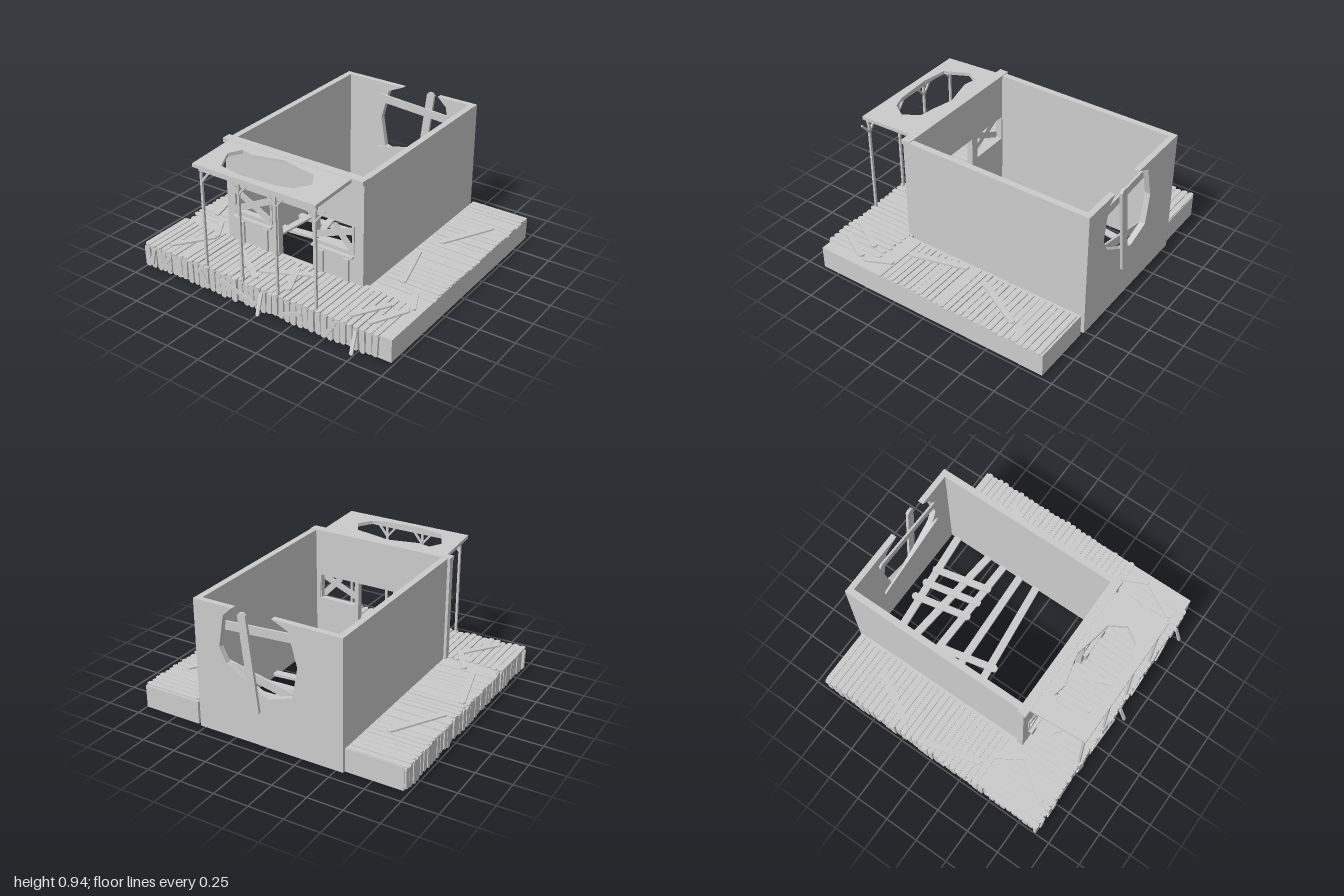
import * as THREE from 'three';

const material = new THREE.MeshStandardMaterial({ color: 0xcccccc, flatShading: true, side: THREE.DoubleSide });
const V = (x, y, z) => new THREE.Vector3(x, y, z);
const UP = V(0, 1, 0), FRONT = V(0, 0, 1), LEFT = V(1, 0, 0);

let seed = 7;
function rand(min, max) {
  seed = (seed * 16807) % 2147483647;
  return min + (max - min) * (seed / 2147483647);
}

function addMesh(parent, name, geometry) {
  const mesh = new THREE.Mesh(geometry, material);
  mesh.name = name;
  parent.add(mesh);
  return mesh;
}

// Box given by its limits on each axis
function box(parent, name, x0, x1, y0, y1, z0, z1) {
  const mesh = addMesh(parent, name, new THREE.BoxGeometry(x1 - x0, y1 - y0, z1 - z0));
  mesh.position.set((x0 + x1) / 2, (y0 + y1) / 2, (z0 + z1) / 2);
  return mesh;
}

// Board with chipped ends from a to b, its back lying on the surface with this normal
function plank(parent, name, a, b, width, thickness, normal) {
  const length = a.distanceTo(b), w = width / 2, c = width * 0.28;
  const shape = new THREE.Shape([
    [0, -w + c], [c, -w], [length - c, -w], [length, -w + c],
    [length, w - c], [length - c, w], [c, w], [0, w - c],
  ].map(([x, y]) => new THREE.Vector2(x, y)));
  const mesh = addMesh(parent, name, new THREE.ExtrudeGeometry(shape, { depth: thickness, bevelEnabled: false }));
  const dir = b.clone().sub(a).normalize();
  const side = normal.clone().cross(dir).normalize();
  const out = dir.clone().cross(side);
  mesh.applyMatrix4(new THREE.Matrix4().makeBasis(dir, side, out).setPosition(a));
  return mesh;
}

const outline = (points) => points.map(([x, y]) => new THREE.Vector2(x, y));

function panel(parent, name, points, holes, depth) {
  const shape = new THREE.Shape(outline(points));
  holes.forEach((h) => shape.holes.push(new THREE.Path(outline(h))));
  return addMesh(parent, name, new THREE.ExtrudeGeometry(shape, { depth, bevelEnabled: false }));
}

function group(parent, name) {
  const g = new THREE.Group();
  g.name = name;
  parent.add(g);
  return g;
}

function buildWalls(root) {
  const walls = group(root, 'walls');
  box(walls, 'rightWall', -0.56, -0.515, 0.01, 0.935, -0.92, 0.46);
  box(walls, 'leftWall', 0.48, 0.525, 0.01, 0.935, -0.92, 0.46);

  // Back wall with a broken gap reaching its top edge
  const back = panel(walls, 'backWall', [
    [-0.56, 0.01], [0.525, 0.01], [0.525, 0.935], [0.23, 0.935], [0.3, 0.87], [0.34, 0.64], [0.29, 0.54],
    [0.1, 0.42], [-0.02, 0.37], [-0.2, 0.43], [-0.24, 0.65], [-0.18, 0.88], [-0.06, 0.935], [-0.56, 0.935],
  ], [], 0.04);
  back.position.z = -0.93;
  plank(walls, 'backBoard', V(0.15, 0.93, -0.93), V(0.07, 0.24, -0.93), 0.06, -0.02, FRONT);
  plank(walls, 'backBoard', V(-0.27, 0.82, -0.89), V(0.34, 0.78, -0.89), 0.06, 0.015, FRONT);
  plank(walls, 'backBoard', V(-0.28, 0.38, -0.89), V(0.35, 0.52, -0.89), 0.06, 0.015, FRONT);

  // Front wall with doorway and two windows
  const front = panel(walls, 'frontWall', [
    [-0.58, 0.16], [-0.15, 0.16], [-0.15, 0.595], [0.13, 0.595], [0.13, 0.16],
    [0.525, 0.16], [0.525, 0.935], [-0.58, 0.935],
  ], [
    [[-0.51, 0.41], [-0.21, 0.41], [-0.21, 0.595], [-0.51, 0.595]],
    [[0.16, 0.41], [0.45, 0.41], [0.45, 0.595], [0.16, 0.595]],
  ], 0.045);
  front.position.z = 0.445;

  // Boarded windows, sills and sill supports
  const boards = [
    [-0.51, 0.575, -0.21, 0.425], [-0.51, 0.425, -0.21, 0.575],
    [0.15, 0.45, 0.45, 0.57], [0.3, 0.58, 0.45, 0.42],
  ];
  boards.forEach(([x0, y0, x1, y1]) =>
    plank(walls, 'windowBoard', V(x0, y0, 0.49), V(x1, y1, 0.49), 0.045, 0.01, FRONT));
  for (const x of [-0.36, 0.295]) {
    box(walls, 'windowSill', x - 0.16, x + 0.16, 0.37, 0.382, 0.45, 0.52);
    for (const s of [-1, 1]) {
      box(walls, 'sillSupport', x + s * 0.1 - 0.023, x + s * 0.1 + 0.023, 0.18, 0.345, 0.48, 0.505);
      box(walls, 'windowJamb', x + s * 0.155 - 0.008, x + s * 0.155 + 0.008, 0.4, 0.6, 0.45, 0.497);
    }
  }
}

function buildPorch(root) {
  const porch = group(root, 'porch');
  // Flat roof with a ragged hole
  const roof = panel(porch, 'porchRoof', [
    [-0.53, -0.49], [-0.5, -0.9], [0.455, -0.9], [0.44, -0.49],
  ], [[
    [-0.41, -0.66], [-0.36, -0.57], [-0.27, -0.59], [-0.05, -0.535], [0.1, -0.57], [0.22, -0.59],
    [0.285, -0.7], [0.22, -0.8], [0.12, -0.835], [-0.15, -0.85], [-0.33, -0.82],
  ]], 0.025);
  roof.rotation.x = -Math.PI / 2;
  roof.scale.y = 1;
  roof.position.y = 0.912;
  // Flip so the drawn -y becomes +z
  box(porch, 'roofLedger', -0.58, 0.525, 0.91, 0.94, 0.44, 0.505);
  box(porch, 'porchBeam', -0.47, 0.445, 0.885, 0.905, 0.862, 0.878);

  // Posts with a brace on each side
  for (const x of [-0.455, -0.155, 0.13, 0.43]) {
    box(porch, 'porchPost', x - 0.008, x + 0.008, 0.17, 0.905, 0.862, 0.878);
    for (const s of [-1, 1]) {
      if (Math.abs(x + s * 0.07) > 0.5) continue;
      plank(porch, 'postBrace', V(x, 0.81, 0.864), V(x + s * 0.07, 0.895, 0.864), 0.014, 0.012, FRONT);
    }
  }
}

function buildDeck(root) {
  const deck = group(root, 'deck');
  box(deck, 'rightDeckBase', -0.97, -0.562, 0.01, 0.175, -0.91, 0.46);
  box(deck, 'leftDeckBase', 0.55, 0.985, 0.01, 0.175, -0.92, 0.46);
  box(deck, 'frontDeckBase', -0.97, 0.985, 0.01, 0.175, 0.45, 0.87);

  // Side decking boards
  for (let i = 0; i < 28; i++) {
    const z = -0.885 + i * 0.0465;
    for (const s of [-1, 1]) {
      const inner = s < 0 ? -0.565 : 0.555;
      plank(deck, 'sideDeckBoard', V(inner + s * rand(0, 0.012), 0.174, z),
        V(s * rand(0.982, 1), 0.174, z), rand(0.036, 0.046), rand(0.006, 0.012), UP);
    }
  }
  // Front decking and the upright skirt below it
  for (let i = 0; i < 40; i++) {
    const x = -0.975 + i * 0.0475, w = rand(0.036, 0.045);
    plank(deck, 'frontDeckBoard', V(x, 0.174, rand(0.46, 0.49)), V(x, 0.174, rand(0.88, 0.902)), w, rand(0.006, 0.012), UP);
    plank(deck, 'frontSkirtBoard', V(x + rand(-0.005, 0.005), rand(0, 0.02), 0.868),
      V(x + rand(-0.005, 0.005), rand(0.165, 0.18), 0.868), w, rand(0.015, 0.025), FRONT);
  }
  for (let i = 0; i < 38; i++) {
    const z = -0.885 + i * 0.0465;
    plank(deck, 'sideSkirtBoard', V(-0.968, rand(0, 0.02), z),
      V(-0.968, rand(0.16, 0.178), z), rand(0.034, 0.044), rand(0.01, 0.02), LEFT.clone().negate());
  }
}

function buildDebris(root) {
  const debris = group(root, 'looseBoards');
  // Boards lying on the deck: x, z to x, z
  const lying = [
    [-0.92, -0.25, -0.7, -0.62], [0.66, -0.25, 0.87, -0.62], [-0.95, -0.08, -0.84, 0.33], [0.6, -0.08, 0.72, 0.33],
    [-0.83, 0.82, -0.64, 0.56], [-0.76, 0.36, -0.63, 0.57], [0.64, 0.82, 0.79, 0.57], [0.78, 0.82, 0.92, 0.57],
    [0.84, 0.36, 0.93, 0.55], [-0.4, 0.59, -0.08, 0.83], [-0.13, 0.73, 0.22, 0.56], [0.06, 0.56, 0.17, 0.82],
  ];
  lying.forEach(([x0, z0, x1, z1], i) =>
    plank(debris, 'lyingBoard', V(x0, 0.185, z0), V(x1, 0.185 + (i % 2) * 0.008, z1), 0.042, 0.012, UP));

  // Boards nailed across the front skirt: x, y to x, y
  const nailed = [
    [-0.33, 0.135, -0.03, 0.05], [0.18, 0.06, 0.33, 0.12], [-0.87, 0.16, -0.77, 0.03], [-0.86, 0.03, -0.76, 0.16],
    [-0.51, 0.16, -0.43, 0.03], [0.51, 0.03, 0.59, 0.16], [-0.94, 0.03, -0.91, 0.16],
  ];
  nailed.forEach(([x0, y0, x1, y1]) =>
    plank(debris, 'nailedBoard', V(x0, y0, 0.89), V(x1, y1, 0.89), 0.03, 0.01, FRONT));
  for (const x of [0.02, 0.745])
    plank(debris, 'leaningBoard', V(x, 0.165, 0.895), V(x, 0.012, 0.945), 0.025, 0.01, FRONT);
}

function buildFloor(root) {
  const floor = group(root, 'brokenFloor');
  // Joists across the room, given by z at each end
  for (const [a, b] of [[-0.73, -0.83], [-0.65, -0.55], [-0.44, -0.415], [-0.225, -0.27], [-0.015, -0.125]])
    plank(floor, 'joist', V(-0.52, 0.025, a), V(0.49, 0.025, b), 0.055, 0.02, UP);
  const boards = [
    [-0.36, -0.88, -0.465, 0.14], [-0.305, -0.44, -0.205, 0.01],
    [-0.09, -0.83, 0.005, -0.38], [0.04, -0.83, 0.135, -0.38], [0.165, -0.83, 0.265, -0.38],
  ];
  boards.forEach(([x0, z0, x1, z1]) =>
    plank(floor, 'floorBoard', V(x0, 0.045, z0), V(x1, 0.045, z1), 0.052, 0.015, UP));
}

export function createModel() {
  const model = new THREE.Group();
  model.name = 'abandonedBuilding';
  [buildWalls, buildPorch, buildDeck, buildDebris, buildFloor].forEach((build) => build(model));
  return model;
}
